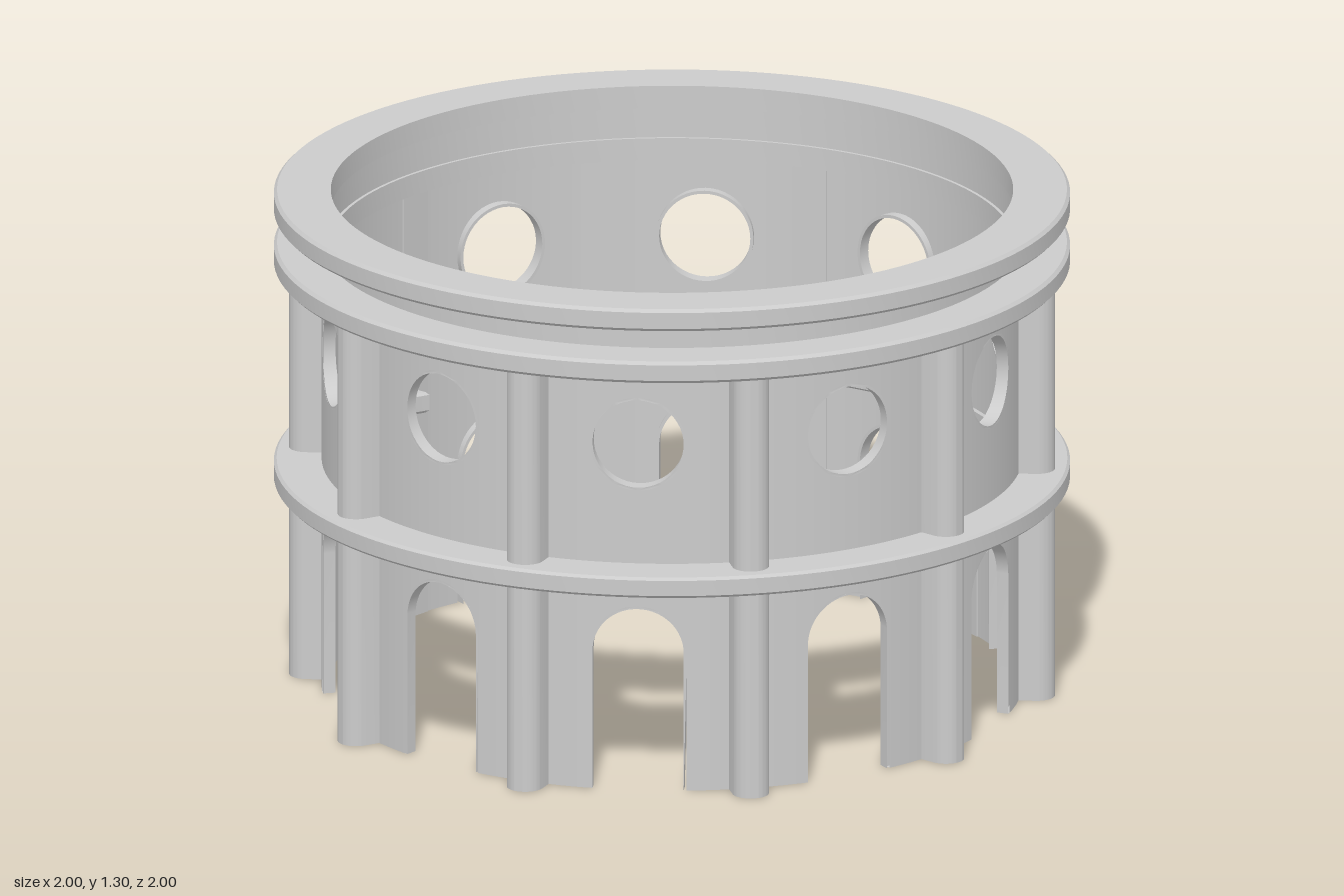
import * as THREE from 'three';
import { toCreasedNormals } from 'three/addons/utils/BufferGeometryUtils.js';

const R_OUT = 0.88, R_IN = 0.865, HOLE = 0.122, SLEEVE = 0.115, SLEEVE_BACK = 0.84;
const ARCH_Y = 0.362, WINDOW_Y = 0.912, WALL_TOP = 1.12, BAYS = 10;
const STEP = (Math.PI * 2) / BAYS;
const material = new THREE.MeshStandardMaterial({ color: 0xcccccc });
const thin = new THREE.MeshStandardMaterial({ color: 0xcccccc, side: THREE.DoubleSide });

function mesh(name, geometry, mat = material) {
  const m = new THREE.Mesh(geometry, mat);
  m.name = name;
  return m;
}

// One curved bay of wall, facing +z, pierced by an arch and a round window
function wallBay() {
  const pos = [], nor = [];
  const quad = (a, b, c, d, normalOf) => {
    for (const p of [a, b, c, a, c, d]) { pos.push(...p); nor.push(...normalOf(p)); }
  };
  const outward = (p) => [p[0] / R_OUT, 0, p[2] / R_OUT];
  const inward = (p) => [-p[0] / R_IN, 0, -p[2] / R_IN];
  const down = () => [0, -1, 0];
  const at = (x, y, r) => [x, y, Math.sqrt(r * r - x * x)];
  // x position at parameter u: -1..1 is the opening, beyond that is solid wall
  const xAt = (u, r) => {
    if (Math.abs(u) <= 1) return HOLE * Math.sin((u * Math.PI) / 2);
    const edge = Math.asin(HOLE / r);
    return Math.sign(u) * r * Math.sin(edge + (Math.abs(u) - 1) * (STEP / 2 - edge));
  };
  const rise = (u) => (Math.abs(u) <= 1 ? HOLE * Math.cos((u * Math.PI) / 2) : 0);
  const N = 48;
  for (let i = 0; i < N; i++) {
    const u0 = -2 + (4 * i) / N, u1 = -2 + (4 * (i + 1)) / N;
    const open = Math.abs((u0 + u1) / 2) < 1;
    const foot = (u) => (open ? ARCH_Y + rise(u) : 0);
    const spans = [
      [foot, (u) => WINDOW_Y - rise(u)],
      [(u) => WINDOW_Y + rise(u), () => WALL_TOP],
    ];
    const o0 = xAt(u0, R_OUT), o1 = xAt(u1, R_OUT), i0 = xAt(u0, R_IN), i1 = xAt(u1, R_IN);
    for (const [lo, hi] of spans) {
      quad(at(o0, lo(u0), R_OUT), at(o1, lo(u1), R_OUT), at(o1, hi(u1), R_OUT), at(o0, hi(u0), R_OUT), outward);
      quad(at(i1, lo(u1), R_IN), at(i0, lo(u0), R_IN), at(i0, hi(u0), R_IN), at(i1, hi(u1), R_IN), inward);
    }
    if (!open) quad(at(i0, 0, R_IN), at(i1, 0, R_IN), at(o1, 0, R_OUT), at(o0, 0, R_OUT), down);
  }
  const g = new THREE.BufferGeometry();
  g.setAttribute('position', new THREE.Float32BufferAttribute(pos, 3));
  g.setAttribute('normal', new THREE.Float32BufferAttribute(nor, 3));
  return g;
}

// Lining of an opening: flat on the inside, following the curved wall outside
function lining(shape) {
  const g = new THREE.ExtrudeGeometry(shape, { depth: 0.04, bevelEnabled: false, curveSegments: 24 });
  const p = g.attributes.position;
  for (let i = 0; i < p.count; i++) {
    const x = p.getX(i);
    p.setZ(i, p.getZ(i) > 0.02 ? Math.sqrt(R_OUT * R_OUT - x * x) - 0.001 : SLEEVE_BACK);
  }
  return toCreasedNormals(g, 0.6);
}

function windowLining() {
  const s = new THREE.Shape().absarc(0, WINDOW_Y, HOLE + 0.001, 0, Math.PI * 2);
  s.holes.push(new THREE.Path().absarc(0, WINDOW_Y, SLEEVE, 0, Math.PI * 2, true));
  return lining(s);
}

function archLining() {
  const s = new THREE.Shape();
  s.moveTo(HOLE + 0.001, 0);
  s.absarc(0, ARCH_Y, HOLE + 0.001, 0, Math.PI);
  s.lineTo(-HOLE - 0.001, 0);
  s.lineTo(-SLEEVE, 0);
  s.absarc(0, ARCH_Y, SLEEVE, Math.PI, 0, true);
  s.lineTo(SLEEVE, 0);
  return lining(s);
}

// Half-round pilaster standing out from the wall towards +z
function pilaster(height) {
  const w = 0.046, s = new THREE.Shape();
  s.moveTo(-w, -0.86);
  s.lineTo(-w, -0.92);
  s.absarc(0, -0.92, w, Math.PI, Math.PI * 2);
  s.lineTo(w, -0.86);
  const g = new THREE.ExtrudeGeometry(s, { depth: height, bevelEnabled: false, curveSegments: 16 });
  return toCreasedNormals(g.rotateX(-Math.PI / 2), 0.5);
}

// Full ring with slightly chamfered outer edges
function ring(y0, y1, rIn, rOut, c) {
  const points = [
    [rIn, y0], [rOut - c, y0], [rOut, y0 + c], [rOut, y1 - c], [rOut - c, y1], [rIn, y1], [rIn, y0],
  ].map(([x, y]) => new THREE.Vector2(x, y));
  return toCreasedNormals(new THREE.LatheGeometry(points, 128), 0.5);
}

// Middle ledge: open across the rear bay, its ends running straight
function ledge() {
  const pts = [], N = 110, zOut = 0.9, zIn = 0.775;
  const arc = (r, from, to) => {
    for (let i = 0; i <= N; i++) {
      const a = from + ((to - from) * i) / N;
      pts.push(new THREE.Vector2(r * Math.sin(a), r * Math.cos(a)));
    }
  };
  const end = (side, z) => pts.push(new THREE.Vector2(side * z * Math.tan(STEP / 2), z));
  const full = Math.PI * 2, a = Math.acos(zOut), b = Math.acos(zIn / 0.86);
  arc(1, a, full - a);
  end(-1, zOut);
  end(-1, zIn);
  arc(0.86, full - b, b);
  end(1, zIn);
  end(1, zOut);
  const g = new THREE.ExtrudeGeometry(new THREE.Shape(pts), {
    depth: 0.04, bevelThickness: 0.007, bevelSize: 0.007, bevelOffset: -0.007, bevelSegments: 1,
  });
  g.rotateX(-Math.PI / 2).translate(0, 0.551, 0);
  return toCreasedNormals(g, 0.5);
}

export function createModel() {
  const model = new THREE.Group();
  model.name = 'arcadeDrum';
  const bay = wallBay(), windowGeo = windowLining(), archGeo = archLining();
  const tall = pilaster(1.12), short = pilaster(0.56);

  for (let i = 0; i < BAYS; i++) {
    const group = new THREE.Group();
    group.name = 'bay';
    group.rotation.y = i * STEP;
    group.add(mesh('wall', bay, thin), mesh('windowLining', windowGeo), mesh('archLining', archGeo));
    model.add(group);

    // The pilaster on the +x side stops at the ledge
    const p = mesh('pilaster', i === 2 ? short : tall);
    p.rotation.y = (i + 0.5) * STEP;
    model.add(p);
  }

  model.add(mesh('middleLedge', ledge()));
  model.add(mesh('lowerCornice', ring(1.11, 1.167, 0.857, 1, 0.008)));
  model.add(mesh('neck', ring(1.16, 1.255, R_IN, R_OUT, 0.001)));
  model.add(mesh('upperCornice', ring(1.247, 1.305, 0.857, 1, 0.008)));
  return model;
}
